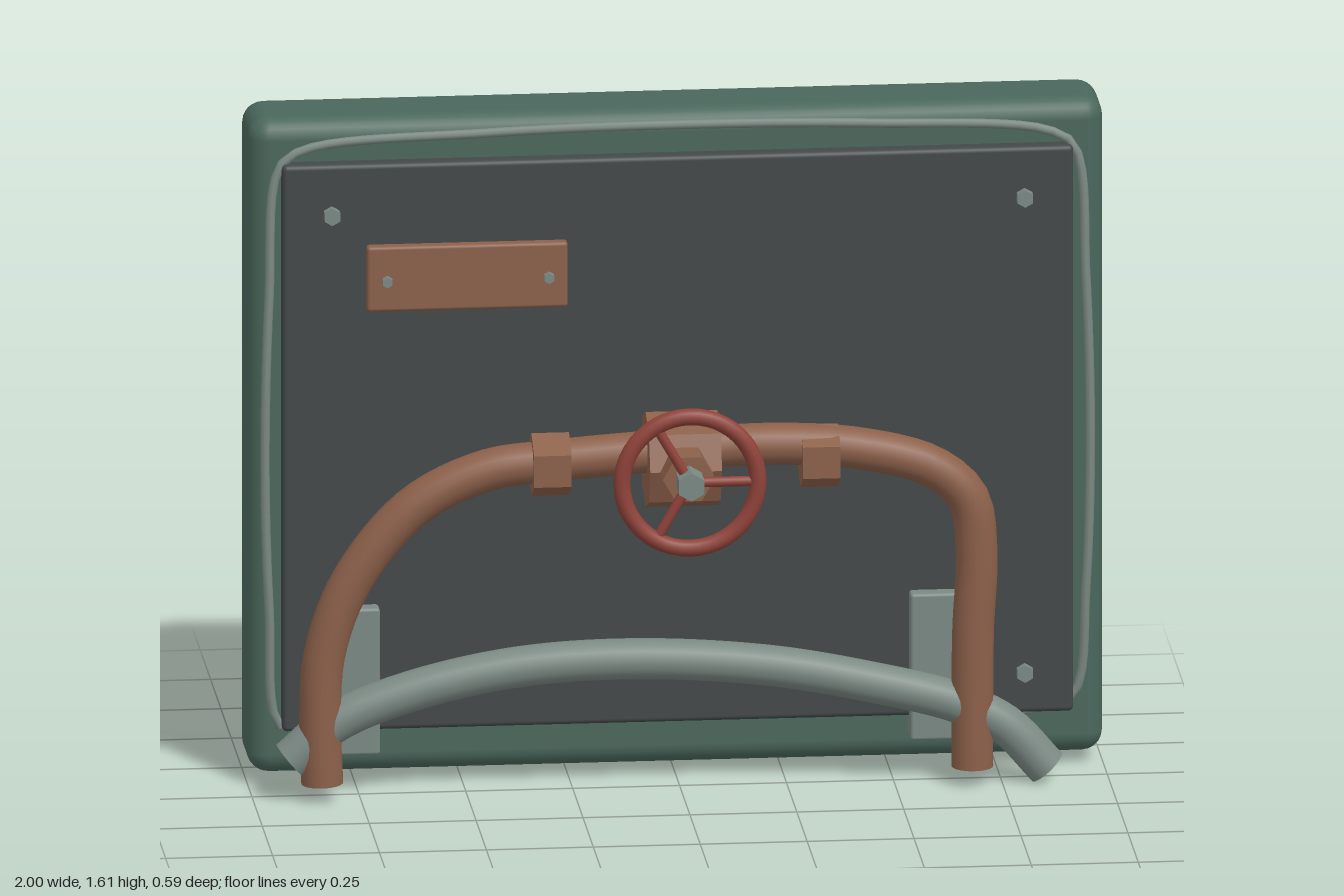
import * as THREE from 'three';
import { RoundedBoxGeometry } from 'three/addons/geometries/RoundedBoxGeometry.js';

const material = (name, color, flatShading = false) => {
  const m = new THREE.MeshStandardMaterial({ color });
  m.name = name;
  m.flatShading = flatShading;
  return m;
};

export function createModel() {
  const green = material('green paint', 0x4a675c);
  const dark = material('dark panel', 0x434848);
  const copper = material('copper', 0x8c604a);
  const red = material('red paint', 0x8e4239);
  const steel = material('grey steel', 0x7b8983);

  const model = new THREE.Group();
  model.name = 'valvePanel';

  const add = (name, geometry, mat, x = 0, y = 0, z = 0, parent = model) => {
    const mesh = new THREE.Mesh(geometry, mat);
    mesh.name = name;
    mesh.position.set(x, y, z);
    parent.add(mesh);
    return mesh;
  };

  // Rounded box given by its limits
  const block = (name, mat, [x0, x1], [y0, y1], [z0, z1], radius) =>
    add(name, new RoundedBoxGeometry(x1 - x0, y1 - y0, z1 - z0, 3, radius), mat,
      (x0 + x1) / 2, (y0 + y1) / 2, (z0 + z1) / 2);

  // Flat-sided prism along x or z, with one corner pointing up or sideways
  const prism = (radius, length, sides, axis, turn = 0) => {
    const g = new THREE.CylinderGeometry(radius, radius, length, sides).toNonIndexed();
    g.rotateY(turn);
    if (axis === 'x') g.rotateZ(Math.PI / 2);
    else g.rotateX(Math.PI / 2);
    g.computeVertexNormals();
    return g;
  };

  // Round pipe through points, closed by end discs
  const pipe = (name, mat, points, radius) => {
    const group = new THREE.Group();
    group.name = name;
    const curve = new THREE.CatmullRomCurve3(points.map(p => new THREE.Vector3(...p)));
    add(name + 'Body', new THREE.TubeGeometry(curve, 80, radius, 20), mat, 0, 0, 0, group);
    for (const t of [0, 1]) {
      const p = curve.getPointAt(t);
      const out = curve.getTangentAt(t).multiplyScalar(t ? 1 : -1);
      const cap = add(name + 'End', new THREE.CircleGeometry(radius, 20), mat, p.x, p.y, p.z, group);
      cap.quaternion.setFromUnitVectors(new THREE.Vector3(0, 0, 1), out);
    }
    model.add(group);
  };

  // Backing slab and front panel
  block('slab', green, [-1, 1], [0.035, 1.62], [-0.292, -0.075], 0.05);
  block('panel', dark, [-0.925, 0.925], [0.15, 1.52], [-0.1, -0.038], 0.012);

  // Bowed gasket wire around the panel
  const wire = new THREE.CatmullRomCurve3([
    [-0.965, 0.8, -0.046], [-0.955, 1.2, -0.05], [-0.93, 1.51, -0.064], [-0.87, 1.55, -0.07],
    [-0.45, 1.578, -0.073], [0, 1.586, -0.074], [0.45, 1.578, -0.073],
    [0.87, 1.55, -0.07], [0.93, 1.51, -0.064], [0.955, 1.2, -0.05], [0.965, 0.8, -0.046],
    [0.955, 0.45, -0.05], [0.93, 0.19, -0.064], [0.87, 0.155, -0.07],
    [0, 0.19, -0.07], [-0.87, 0.155, -0.07], [-0.93, 0.16, -0.064], [-0.955, 0.45, -0.05],
  ].map(p => new THREE.Vector3(...p)), true);
  add('gasketWire', new THREE.TubeGeometry(wire, 160, 0.011, 8, true), steel);

  // Panel bolts
  for (const x of [-0.81, 0.81])
    for (const y of [0.25, 1.4]) add('panelBolt', prism(0.021, 0.035, 6, 'z'), steel, x, y, -0.033);

  // Blank tag plate with two screws
  block('tagPlate', copper, [-0.73, -0.26], [1.17, 1.327], [-0.04, -0.008], 0.008);
  for (const x of [-0.683, -0.305]) add('tagScrew', prism(0.013, 0.03, 6, 'z'), steel, x, 1.245, -0.006);

  // Brackets behind the pipe legs
  block('bracketRight', steel, [-0.84, -0.7], [0.1, 0.455], [-0.09, 0], 0.008);
  block('bracketLeft', steel, [0.54, 0.68], [0.1, 0.455], [-0.09, 0], 0.008);

  // Main copper pipe and the sagging grey hose
  pipe('copperPipe', copper, [
    [-0.84, 0.05], [-0.845, 0.2], [-0.835, 0.36], [-0.775, 0.53], [-0.63, 0.71], [-0.46, 0.795],
    [-0.3, 0.815], [0, 0.835], [0.22, 0.842], [0.42, 0.825], [0.59, 0.775], [0.67, 0.7],
    [0.69, 0.57], [0.682, 0.38], [0.68, 0.2], [0.68, 0.05],
  ].map(([x, y]) => [x, y, 0.046]), 0.049);
  pipe('greyHose', steel, [
    [-0.915, 0.105], [-0.81, 0.193], [-0.65, 0.258], [-0.4, 0.313], [-0.12, 0.328],
    [0.2, 0.304], [0.45, 0.255], [0.65, 0.2], [0.76, 0.143], [0.855, 0.04],
  ].map(([x, y]) => [x, y, 0.037]), 0.048);

  // Hexagonal couplings
  add('coupling', prism(0.076, 0.088, 6, 'x', Math.PI / 2), copper, -0.307, 0.807, 0.046);
  add('coupling', prism(0.076, 0.088, 6, 'x', Math.PI / 2), copper, 0.322, 0.811, 0.046);

  // Valve body and bonnet
  const cy = 0.812;
  add('valveBody', prism(0.115, 0.168, 8, 'x'), copper, 0, cy, 0.046);
  add('valveBonnet', prism(0.061, 0.14, 6, 'z', Math.PI / 2), copper, 0, cy, 0.155);

  // Handwheel with three spokes and a nut
  const wheel = new THREE.Group();
  wheel.name = 'handwheel';
  wheel.position.set(0, cy, 0.25);
  model.add(wheel);
  add('wheelRim', new THREE.TorusGeometry(0.159, 0.02, 14, 48), red, 0, 0, 0, wheel);
  for (let i = 0; i < 3; i++) {
    const a = (i * Math.PI * 2) / 3;
    const spoke = add('wheelSpoke', new THREE.CylinderGeometry(0.012, 0.012, 0.155, 10), red,
      Math.cos(a) * 0.0775, Math.sin(a) * 0.0775, 0, wheel);
    spoke.rotation.z = a - Math.PI / 2;
  }
  add('wheelNut', prism(0.034, 0.085, 6, 'z'), steel, 0, 0, 0.002, wheel);

  return model;
}
